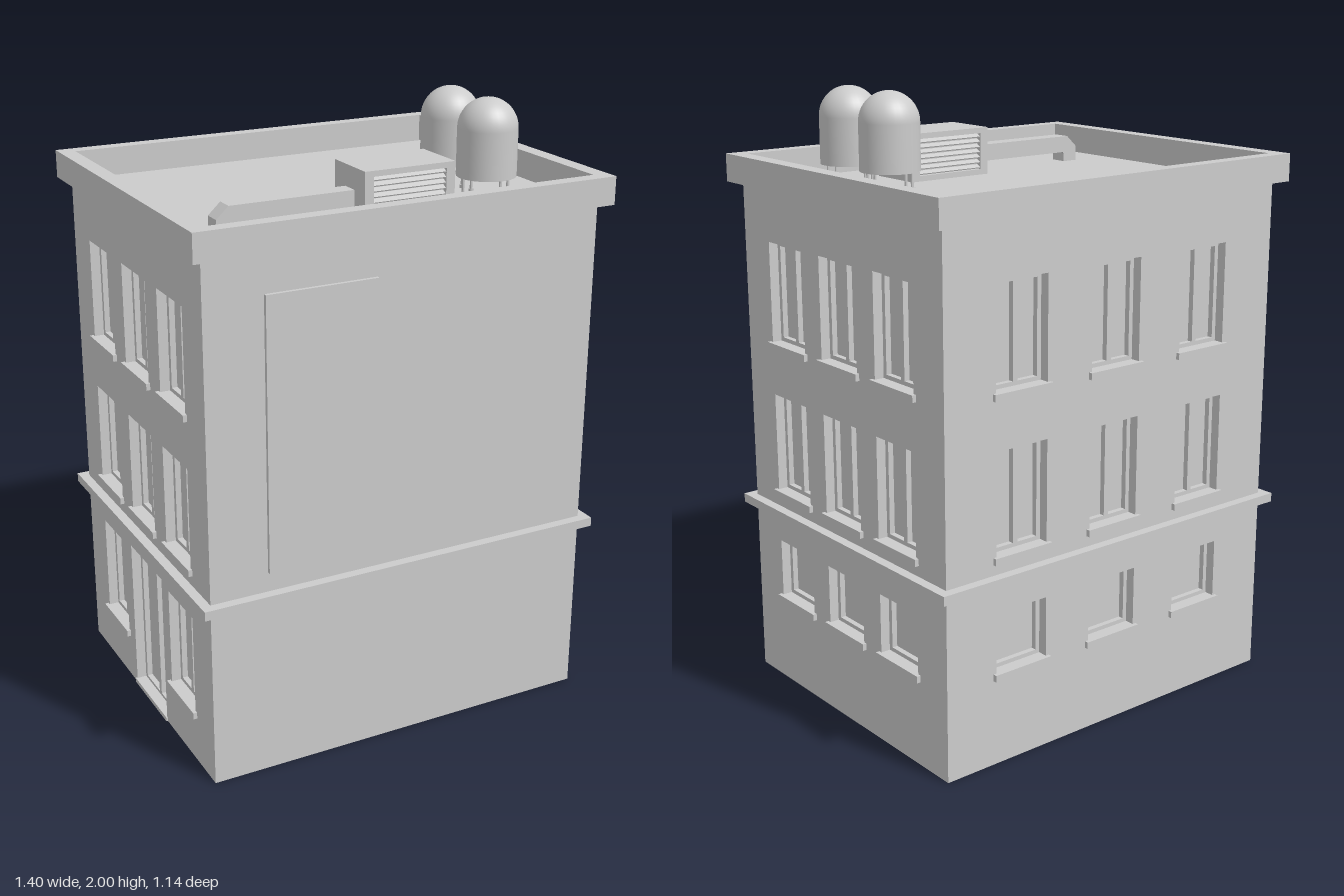
import * as THREE from 'three';

const mat = new THREE.MeshStandardMaterial({ color: 0xcccccc, side: THREE.DoubleSide, flatShading: true });
const smooth = new THREE.MeshStandardMaterial({ color: 0xcccccc });
const W = 0.665, D = 0.533, WALL_TOP = 1.69, ROOF = 1.685;

function add(parent, name, geometry, x = 0, y = 0, z = 0, material = mat) {
  const m = new THREE.Mesh(geometry, material);
  m.name = name;
  m.position.set(x, y, z);
  parent.add(m);
  return m;
}
const box = (parent, name, w, h, d, x, y, z) => add(parent, name, new THREE.BoxGeometry(w, h, d), x, y, z);

function group(parent, name, x = 0, y = 0, z = 0) {
  const g = new THREE.Group();
  g.name = name;
  g.position.set(x, y, z);
  parent.add(g);
  return g;
}

function rect(PathType, x0, y0, x1, y1) {
  const p = new PathType();
  p.moveTo(x0, y0).lineTo(x1, y0).lineTo(x1, y1).lineTo(x0, y1).closePath();
  return p;
}

// Rectangular frame in the xy plane, extruded along +z
function frame(w, h, iw, ih, depth) {
  const s = rect(THREE.Shape, -w / 2, -h / 2, w / 2, h / 2);
  s.holes.push(rect(THREE.Path, -iw / 2, -ih / 2, iw / 2, ih / 2));
  return new THREE.ExtrudeGeometry(s, { depth, bevelEnabled: false });
}

// Four-sided open tube lining an opening
function reveal(w, h, d) {
  return new THREE.CylinderGeometry(Math.SQRT1_2, Math.SQRT1_2, 1, 4, 1, true)
    .rotateY(Math.PI / 4).rotateX(Math.PI / 2).scale(w, h, d);
}

// Window or door set back behind the wall face (local z = 0)
function fillOpening(parent, o) {
  const { u, y0, y1, w, door } = o;
  const h = y1 - y0, depth = 0.05;
  const g = group(parent, door ? 'door' : 'window', u, (y0 + y1) / 2, 0);
  add(g, 'reveal', reveal(w, h, depth), 0, 0, -depth / 2);
  add(g, door ? 'doorPanel' : 'glass', new THREE.PlaneGeometry(w, h), 0, 0, -depth);
  add(g, 'frame', frame(w, h, w - 0.03, h - 0.03, 0.018), 0, 0, -depth);
  if (h > 0.25) box(g, 'mullion', 0.018, h - 0.03, 0.018, 0, 0, -depth + 0.009);
  if (door) {
    box(g, 'threshold', w + 0.01, 0.015, 0.055, 0, -h / 2 - 0.0025, -0.022);
  } else {
    box(g, 'sill', w + 0.024, 0.022, 0.062, 0, -h / 2 - 0.009, -0.018);
  }
}

// Thin wall with its openings, facing local +z
function wall(parent, name, width, dist, angle, openings) {
  const g = group(parent, name, Math.sin(angle) * dist, 0, Math.cos(angle) * dist);
  g.rotation.y = angle;
  const s = rect(THREE.Shape, -width / 2, 0, width / 2, WALL_TOP);
  for (const o of openings) {
    s.holes.push(rect(THREE.Path, o.u - o.w / 2, o.y0, o.u + o.w / 2, o.y1));
    fillOpening(g, o);
  }
  add(g, 'wallFace', new THREE.ShapeGeometry(s));
}

function windows(columns, rows) {
  return rows.flatMap(([y0, y1]) => columns.map(u => ({ u, y0, y1, w: 0.195 })));
}

function waterTank(parent, x, z) {
  const g = group(parent, 'waterTank', x, 0, z);
  const r = 0.095, bottom = 1.755, shoulder = 2 - r;
  const body = new THREE.CylinderGeometry(r, r, shoulder - bottom, 32, 1, true);
  add(g, 'tankBody', body, 0, (shoulder + bottom) / 2, 0, smooth);
  add(g, 'tankDome', new THREE.SphereGeometry(r, 32, 12, 0, Math.PI * 2, 0, Math.PI / 2), 0, shoulder, 0, smooth);
  add(g, 'tankBase', new THREE.CircleGeometry(r, 32).rotateX(Math.PI / 2), 0, bottom, 0);
  for (let i = 0; i < 4; i++) {
    const a = i * Math.PI / 2, lx = Math.cos(a) * 0.083, lz = Math.sin(a) * 0.083;
    add(g, 'tankLeg', new THREE.CylinderGeometry(0.005, 0.005, bottom - ROOF + 0.01, 8), lx, (bottom + ROOF) / 2, lz);
    add(g, 'tankFoot', new THREE.CylinderGeometry(0.009, 0.009, 0.01, 8), lx, ROOF + 0.005, lz);
  }
}

function airUnit(parent) {
  const w = 0.31, h = 1.84 - ROOF, d = 0.19;
  const g = group(parent, 'airUnit', 0.08, ROOF + h / 2, 0.295);
  box(g, 'unitBody', w, h, d - 0.04, 0, 0, 0);
  for (const side of [1, -1]) {
    add(g, 'louverFrame', frame(w, h, w - 0.06, h - 0.036, 0.02), 0, 0, side > 0 ? d / 2 - 0.02 : -d / 2);
    for (let i = 0; i < 7; i++) {
      const slat = box(g, 'louver', w - 0.06, 0.004, 0.018, 0, -0.051 + i * 0.017, side * (d / 2 - 0.011));
      slat.rotation.x = side * 0.5;
    }
  }
  // Duct along the roof, turning down through a chamfered elbow
  const s = new THREE.Shape();
  s.moveTo(-0.07, 1.772).lineTo(-0.485, 1.772).lineTo(-0.525, 1.735).lineTo(-0.525, ROOF)
    .lineTo(-0.47, ROOF).lineTo(-0.47, 1.712).lineTo(-0.465, 1.717).lineTo(-0.07, 1.717).closePath();
  add(parent, 'duct', new THREE.ExtrudeGeometry(s, { depth: 0.058, bevelEnabled: false }), 0, 0, 0.267);
}

export function createModel() {
  const model = new THREE.Group();
  model.name = 'building';

  // Walls, open at the bottom
  const upper = [[0.68, 1.01], [1.185, 1.515]];
  const all = [[0.302, 0.5], ...upper];
  const cols = [-0.29, 0, 0.29];
  wall(model, 'frontWall', W * 2, D, 0, []);
  wall(model, 'leftWall', D * 2, W, Math.PI / 2, windows(cols, all));
  wall(model, 'backWall', W * 2, D, Math.PI, windows([-0.38, -0.01, 0.36], all));
  wall(model, 'rightWall', D * 2, W, -Math.PI / 2, [
    ...windows(cols, upper),
    ...windows([-0.29, 0.29], [[0.178, 0.51]]),
    { u: 0, y0: 0.01, y1: 0.525, w: 0.27, door: true },
  ]);
  box(model, 'frontPanel', 0.365, 0.875, 0.014, -0.292, 1.127, D + 0.005);

  // Storey band, parapet and roof
  const ring = (name, w, d, iw, id, y0, y1) =>
    add(model, name, frame(w, d, iw, id, y1 - y0).rotateX(-Math.PI / 2), 0, y0, 0);
  ring('storeyBand', 1.394, 1.13, W * 2, D * 2, 0.595, 0.625);
  ring('parapet', 1.404, 1.14, 1.3, 1.046, WALL_TOP, 1.78);
  add(model, 'roof', new THREE.PlaneGeometry(W * 2, D * 2).rotateX(-Math.PI / 2), 0, ROOF, 0);

  // Roof equipment
  waterTank(model, 0.415, 0.065);
  waterTank(model, 0.415, 0.285);
  airUnit(model);
  return model;
}
